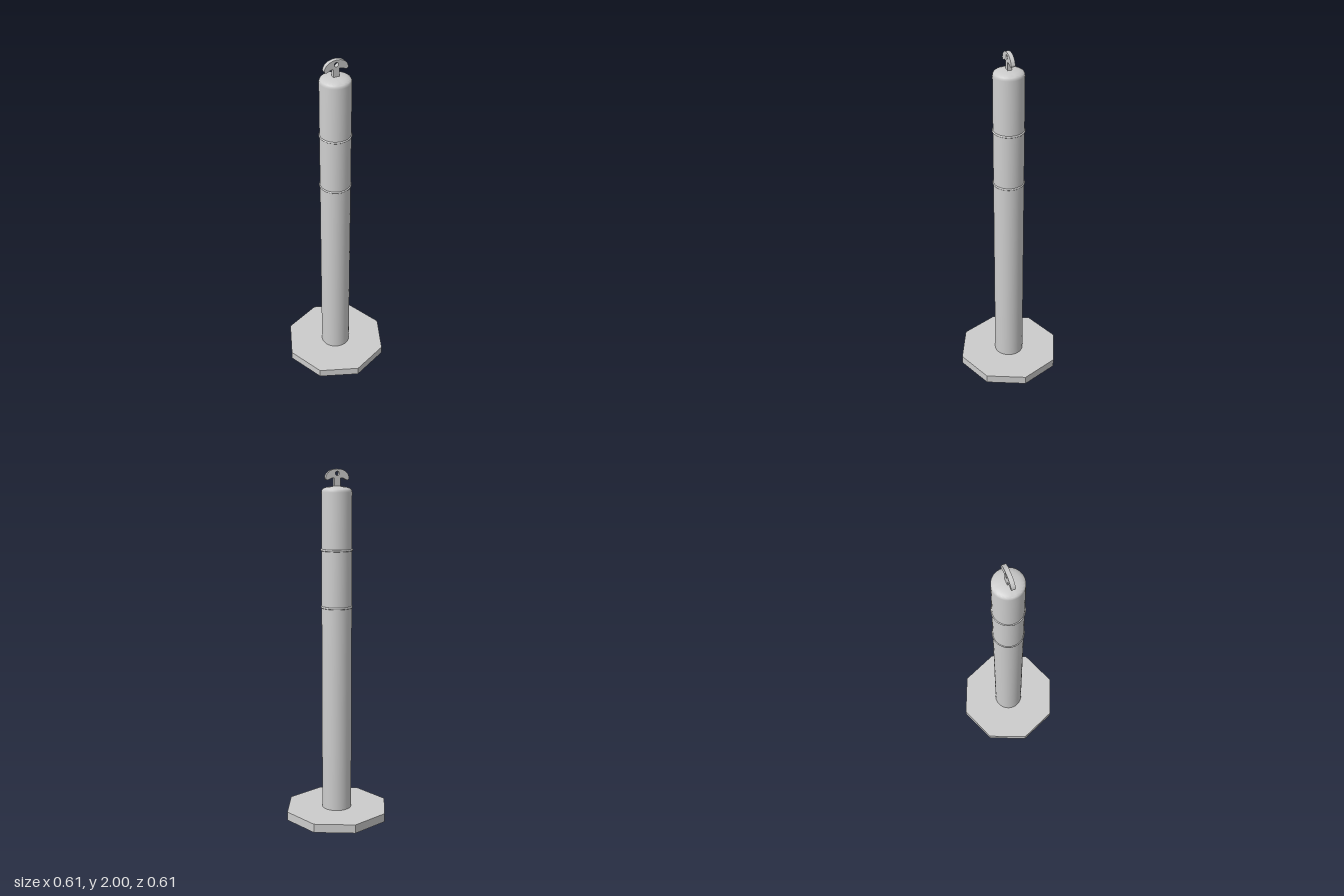
import * as THREE from 'three';
import { toCreasedNormals } from 'three/addons/utils/BufferGeometryUtils.js';

export function createModel() {
  const group = new THREE.Group();
  const material = new THREE.MeshStandardMaterial({ color: 0xcccccc });
  const add = (name, geometry, y = 0) => {
    const mesh = new THREE.Mesh(geometry, material);
    mesh.name = name;
    mesh.position.y = y;
    group.add(mesh);
    return mesh;
  };

  // Octagonal foot with corners on the axes
  add('base', toCreasedNormals(new THREE.CylinderGeometry(0.305, 0.305, 0.05, 8), 0.4), 0.025);

  // Round post with a rounded shoulder and shallow domed top
  const profile = [
    [0, 0.04], [0.085, 0.04], [0.085, 1.875], [0.084, 1.884], [0.08, 1.891],
    [0.073, 1.896], [0.055, 1.902], [0.03, 1.906], [0, 1.908],
  ].map(([x, y]) => new THREE.Vector2(x, y));
  add('post', toCreasedNormals(new THREE.LatheGeometry(profile, 48), 0.7));

  // Thin raised bands
  for (const y of [1.24, 1.56]) {
    const ring = new THREE.TorusGeometry(0.084, 0.006, 10, 48);
    ring.rotateX(Math.PI / 2);
    add('bandRing', ring, y);
  }

  // Flat mushroom-shaped grip with a round hole
  const grip = new THREE.Shape();
  grip.moveTo(-0.017, 1.89);
  grip.lineTo(0.017, 1.89);
  grip.lineTo(0.017, 1.951);
  grip.quadraticCurveTo(0.034, 1.953, 0.046, 1.944);
  grip.bezierCurveTo(0.056, 1.937, 0.068, 1.94, 0.068, 1.953);
  grip.bezierCurveTo(0.064, 1.982, 0.036, 2, 0, 2);
  grip.bezierCurveTo(-0.036, 2, -0.064, 1.982, -0.068, 1.953);
  grip.bezierCurveTo(-0.068, 1.94, -0.056, 1.937, -0.046, 1.944);
  grip.quadraticCurveTo(-0.034, 1.953, -0.017, 1.951);
  grip.closePath();
  const hole = new THREE.Path();
  hole.absarc(0, 1.975, 0.012, 0, Math.PI * 2, true);
  grip.holes.push(hole);
  const gripGeometry = new THREE.ExtrudeGeometry(grip, { depth: 0.023, bevelEnabled: false, curveSegments: 12 });
  gripGeometry.translate(0, 0, -0.0115);
  add('gripHandle', toCreasedNormals(gripGeometry, 0.7));

  return group;
}
